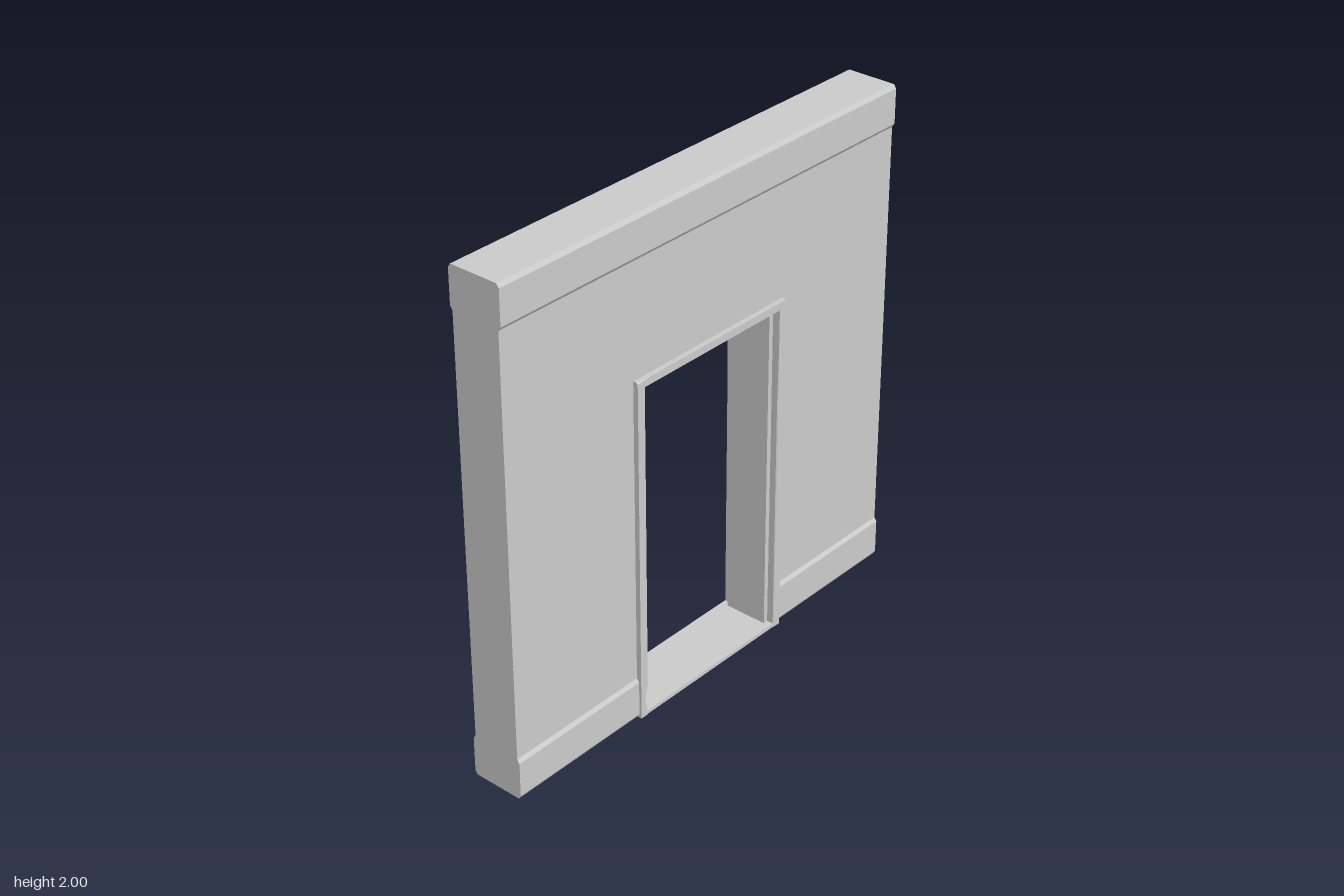
import * as THREE from 'three';

const material = new THREE.MeshStandardMaterial({ color: 0xcccccc, flatShading: true });

// Wall cross-section as [height, half thickness]: plinth, plain face, cornice
const WALL = [
  [0, 0.1], [0.015, 0.11], [0.155, 0.11], [0.17, 0.1],
  [1.835, 0.1], [1.85, 0.11], [1.985, 0.11], [2, 0.1],
];
const CASING = 0.12; // half depth of the door casing
const OUTER = 0.39, INNER = 0.355, OPENING = 0.335;
const TOP_OUTER = 1.39, TOP_INNER = 1.36, TOP_OPENING = 1.335;

function add(group, name, geometry, x = 0, y = 0, z = 0) {
  const mesh = new THREE.Mesh(geometry, material);
  mesh.name = name;
  mesh.position.set(x, y, z);
  group.add(mesh);
}

// Extrudes a symmetric wall profile along x from x0 to x1
function wallPiece(profile, x0, x1) {
  const points = [
    ...profile.map(([y, z]) => new THREE.Vector2(z, y)),
    ...[...profile].reverse().map(([y, z]) => new THREE.Vector2(-z, y)),
  ];
  return new THREE.ExtrudeGeometry(new THREE.Shape(points), { depth: x1 - x0, bevelEnabled: false })
    .rotateY(Math.PI / 2).translate(x0, 0, 0);
}

// Trim running up y between x = a and x = b.
// Each section is [y, chip on the a edge, chip on the b edge].
function trim(a, b, sections) {
  const rings = sections.map(([y, ca, cb]) => [
    [b, CASING - cb], [b, cb - CASING], [b - cb, -CASING], [a + ca, -CASING],
    [a, ca - CASING], [a, CASING - ca], [a + ca, CASING], [b - cb, CASING],
  ].map(([x, z]) => [x, y, z]));
  const out = [];
  const n = 8;
  for (let j = 0; j < rings.length - 1; j++) {
    const lo = rings[j], hi = rings[j + 1];
    for (let i = 0; i < n; i++) {
      const k = (i + 1) % n;
      out.push(...lo[i], ...lo[k], ...hi[k], ...lo[i], ...hi[k], ...hi[i]);
    }
  }
  const first = rings[0], last = rings[rings.length - 1];
  for (let i = 1; i < n - 1; i++) {
    out.push(...last[0], ...last[i], ...last[i + 1]);
    out.push(...first[0], ...first[i + 1], ...first[i]);
  }
  const geometry = new THREE.BufferGeometry();
  geometry.setAttribute('position', new THREE.Float32BufferAttribute(out, 3));
  geometry.computeVertexNormals();
  return geometry;
}

export function createModel() {
  const model = new THREE.Group();
  model.name = 'wallWithDoorway';

  // Wall: a pier each side and the panel over the doorway
  add(model, 'rightPier', wallPiece(WALL, -1, -0.37));
  add(model, 'leftPier', wallPiece(WALL, 0.37, 1));
  add(model, 'wallOverDoor', wallPiece([[1.375, 0.1], ...WALL.slice(4)], -0.37, 0.37));

  // Door casing with chipped edges
  const casing = new THREE.Group();
  casing.name = 'doorCasing';
  model.add(casing);
  add(casing, 'rightCasing', trim(-OUTER, -INNER, [
    [0, 0, 0], [0.03, 0, 0.003], [0.06, 0, 0.018], [0.13, 0, 0], [TOP_INNER, 0, 0],
  ]));
  add(casing, 'leftCasing', trim(INNER, OUTER, [
    [0, 0.003, 0], [0.93, 0.004, 0], [0.98, 0.004, 0.01], [1.04, 0.003, 0],
    [1.2, 0, 0], [TOP_INNER, 0, 0],
  ]));
  add(casing, 'headCasing', trim(-TOP_OUTER, -TOP_INNER, [
    [-OUTER, 0.006, 0], [-0.33, 0, 0], [OUTER, 0, 0],
  ]).rotateZ(-Math.PI / 2));

  // Recessed lining of the opening
  const lining = new THREE.Group();
  lining.name = 'doorLining';
  model.add(lining);
  const depth = 0.18, thick = INNER - OPENING;
  for (const side of [-1, 1]) {
    add(lining, side < 0 ? 'rightJamb' : 'leftJamb',
      new THREE.BoxGeometry(thick, TOP_INNER, depth),
      side * (OPENING + INNER) / 2, TOP_INNER / 2);
  }
  add(lining, 'headLining', new THREE.BoxGeometry(OPENING * 2, TOP_INNER - TOP_OPENING, depth),
    0, (TOP_INNER + TOP_OPENING) / 2);

  // Threshold
  add(model, 'threshold', new THREE.BoxGeometry(INNER * 2, 0.015, 0.236), 0, 0.0075);

  return model;
}
